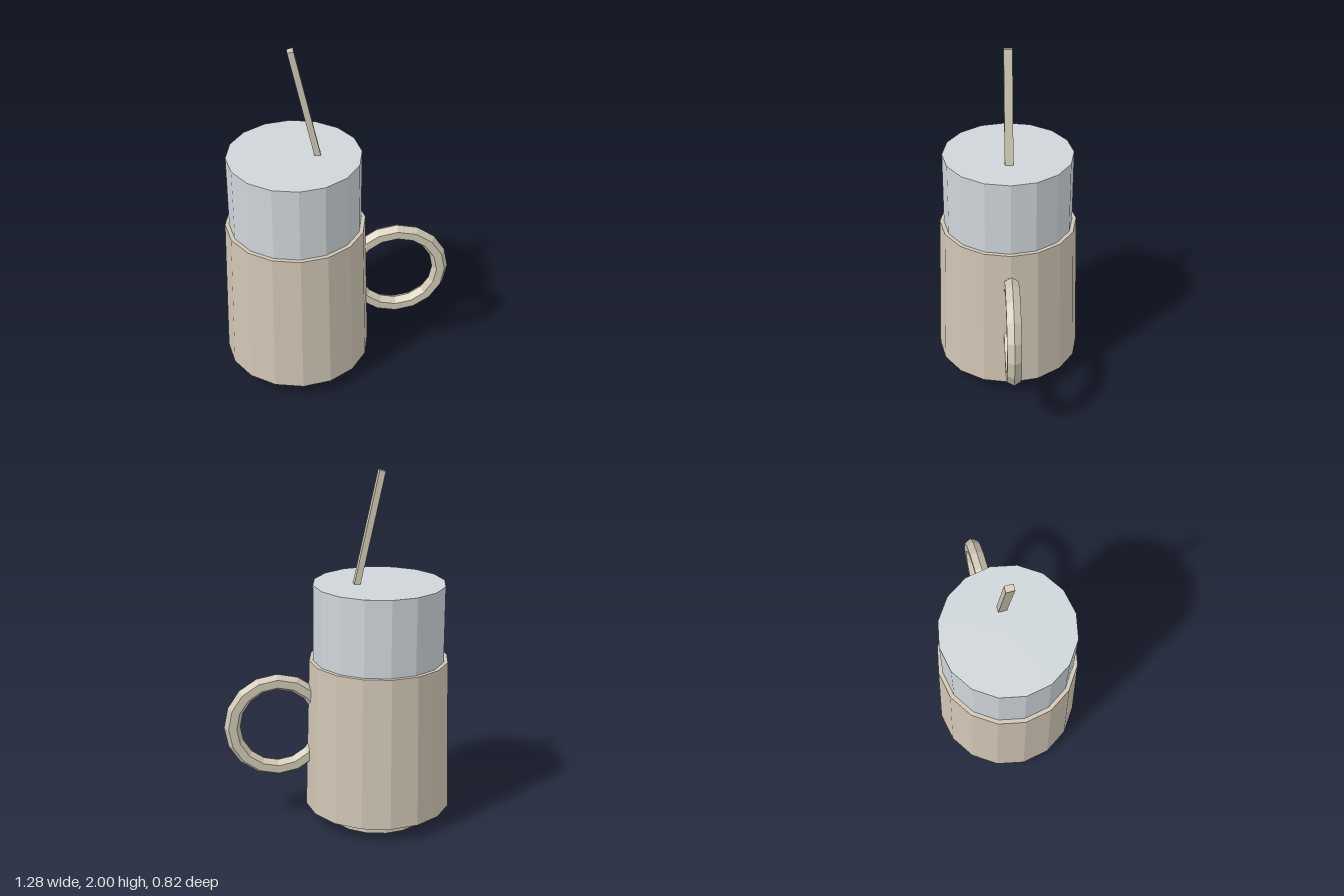
import * as THREE from 'three';

const SIDES = 16;
const AXIS_X = -0.23; // the mug sits left of centre to balance its handle

function flat(name, color) {
  const m = new THREE.MeshStandardMaterial({ color, flatShading: true });
  m.name = name;
  return m;
}

export function createModel() {
  const group = new THREE.Group();
  group.name = 'mug';
  const clay = flat('warm beige', 0xd0c5b4);
  const sand = flat('sand beige', 0xcfc7b3);
  const grey = flat('pale blue grey', 0xced5d9);

  const add = (name, geometry, material, x, y) => {
    const mesh = new THREE.Mesh(geometry, material);
    mesh.name = name;
    mesh.position.set(x, y, 0);
    group.add(mesh);
    return mesh;
  };
  // Faceted drum standing between two heights on the mug axis
  const drum = (name, rTop, rBottom, y0, y1, material) =>
    add(name, new THREE.CylinderGeometry(rTop, rBottom, y1 - y0, SIDES), material, AXIS_X, (y0 + y1) / 2);

  drum('foot', 0.275, 0.275, 0, 0.09, sand);
  drum('body', 0.39, 0.412, 0.09, 0.95, clay);
  drum('insert', 0.367, 0.367, 0.95, 1.38, grey);

  // Ring handle, partly sunk into the body
  add('handle', new THREE.TorusGeometry(0.255, 0.045, 6, SIDES), sand, 0.34, 0.58);

  // Leaning stirrer, its lower end sunk into the insert
  const tilt = 0.213, length = 0.75;
  const stirrer = add('stirrer', new THREE.BoxGeometry(0.034, length, 0.047), sand,
    -0.238 + Math.sin(tilt) * length / 2, 1.996 - Math.cos(tilt) * length / 2);
  stirrer.rotation.z = tilt;

  return group;
}
